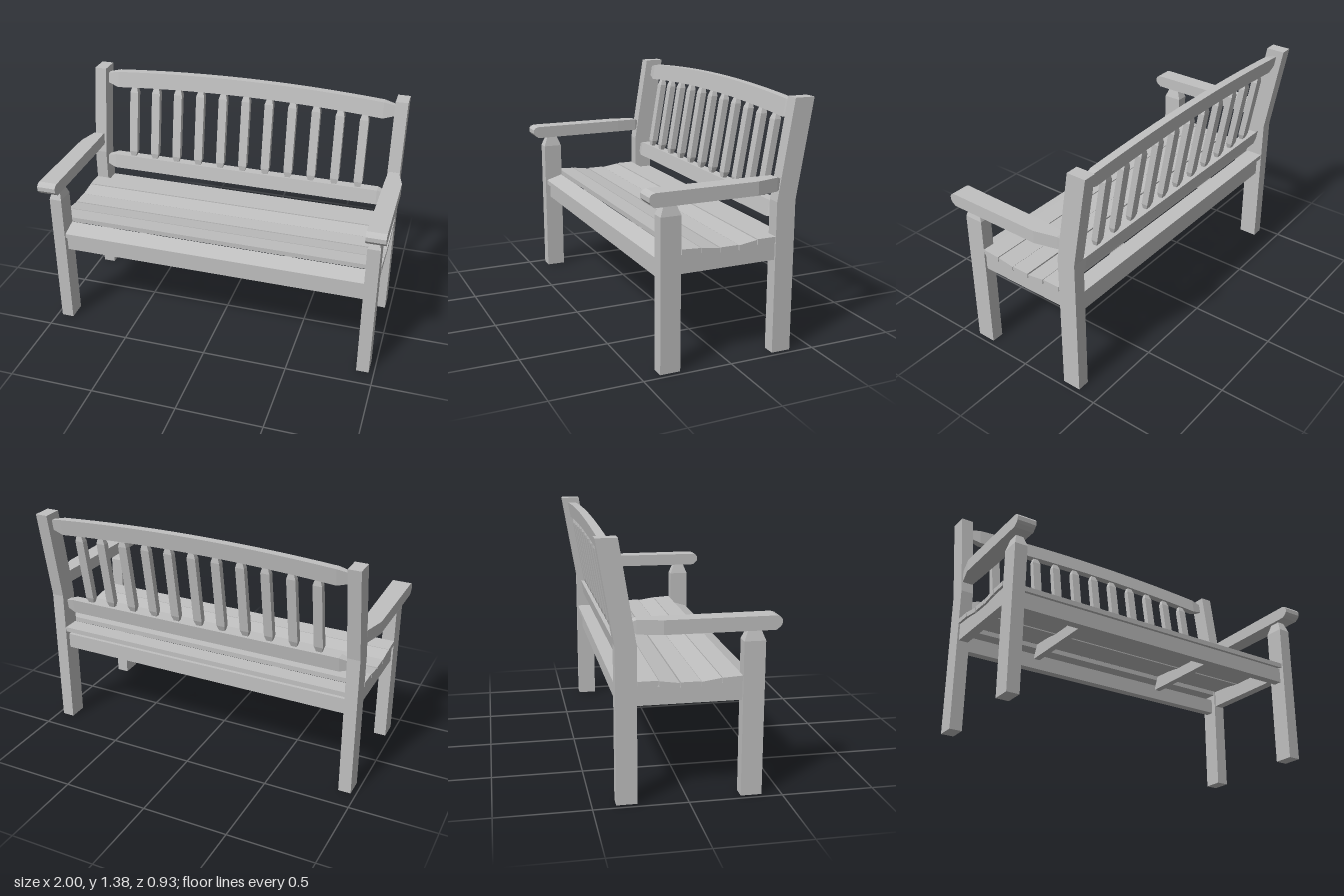
import * as THREE from 'three';

const LEAN = 0.168, BEND = 0.84;

// Solid skinned over matching rings of [x, y, z] points, with flat facets.
function loft(rings) {
  const p = [];
  const tri = (...c) => c.forEach(v => p.push(...v));
  const n = rings[0].length;
  for (let i = 0; i < rings.length - 1; i++) {
    for (let j = 0; j < n; j++) {
      const k = (j + 1) % n, a = rings[i], b = rings[i + 1];
      tri(a[j], a[k], b[k]);
      tri(a[j], b[k], b[j]);
    }
  }
  const first = rings[0], last = rings[rings.length - 1];
  for (let j = 1; j < n - 1; j++) {
    tri(first[0], first[j + 1], first[j]);
    tri(last[0], last[j], last[j + 1]);
  }
  // turn the faces outward if the rings run the other way
  let volume = 0;
  for (let i = 0; i < p.length; i += 9) {
    const [a, b, c] = [0, 3, 6].map(o => new THREE.Vector3(p[i + o], p[i + o + 1], p[i + o + 2]));
    volume += a.dot(b.cross(c));
  }
  if (volume < 0) {
    for (let i = 0; i < p.length; i += 9) {
      for (let o = 0; o < 3; o++) [p[i + 3 + o], p[i + 6 + o]] = [p[i + 6 + o], p[i + 3 + o]];
    }
  }
  const g = new THREE.BufferGeometry();
  g.setAttribute('position', new THREE.Float32BufferAttribute(p, 3));
  g.computeVertexNormals();
  return g;
}

// Rectangular ring across x, and rectangular ring across y
const ringX = (x, y0, y1, z0, z1) => [[x, y0, z0], [x, y1, z0], [x, y1, z1], [x, y0, z1]];
const ringY = (y, x0, x1, z0, z1) => [[x0, y, z0], [x1, y, z0], [x1, y, z1], [x0, y, z1]];

// Slab with a [z, y] side profile between two x positions
const slab = (x0, x1, profile) => loft([x0, x1].map(x => profile.map(([z, y]) => [x, y, z])));

// Tilt the back panel in line with the upper back legs
function lean(g) {
  const p = g.attributes.position;
  for (let i = 0; i < p.count; i++) p.setZ(i, p.getZ(i) - (p.getY(i) - BEND) * LEAN);
  g.computeVertexNormals();
  return g;
}

export function createModel() {
  const model = new THREE.Group();
  model.name = 'gardenBench';
  const wood = new THREE.MeshStandardMaterial({ color: 0xc0c0c0 });
  wood.name = 'pale grey wood';

  const add = (name, geometry) => {
    const mesh = new THREE.Mesh(geometry, wood);
    mesh.name = name;
    model.add(mesh);
  };

  for (const s of [1, -1]) {
    const side = s > 0 ? 'left' : 'right';

    // Front leg with a chamfered top
    add(side + 'FrontLeg', loft([
      ringY(0, s * 0.897, s * 0.97, 0.282, 0.395),
      ringY(0.835, s * 0.897, s * 0.97, 0.282, 0.395),
      ringY(0.897, s * 0.912, s * 0.955, 0.307, 0.37),
    ]));

    // Back leg, bent backward above the seat
    add(side + 'BackLeg', loft([
      ringY(0, s * 0.897, s * 0.97, -0.375, -0.265),
      ringY(BEND, s * 0.897, s * 0.97, -0.375, -0.265),
      ringY(1.375, s * 0.897, s * 0.97, -0.465, -0.353),
    ]));

    // Armrest: rounded nose, narrowing toward the back leg
    const armRing = (z, y0, y1, x0, x1) =>
      [[s * x0, y0, z], [s * x1, y0, z], [s * x1, y1, z], [s * x0, y1, z]];
    add(side + 'Armrest', loft([
      armRing(0.468, 0.925, 0.95, 0.89, 1),
      armRing(0.458, 0.912, 0.963, 0.89, 1),
      armRing(0.437, 0.896, 0.97, 0.89, 1),
      armRing(-0.135, 0.896, 0.97, 0.9, 1),
      armRing(-0.265, 0.896, 0.97, 0.905, 0.967),
      armRing(-0.285, 0.91, 0.96, 0.91, 0.96),
    ]));

    // Dished side rail and inner seat bearer
    const dish = [[0.28, 0.627], [0.17, 0.622], [0.06, 0.61], [-0.04, 0.61], [-0.15, 0.622], [-0.265, 0.627]];
    add(side + 'SideRail', slab(s * 0.905, s * 0.96, [[-0.265, 0.525], [0.28, 0.525], ...dish]));
    add(side + 'SeatBearer', slab(s * 0.425, s * 0.463, [[-0.3, 0.545], [0.33, 0.545], ...dish]));
  }

  // Long seat rails
  add('frontSeatRail', slab(-0.9, 0.9, [[0.315, 0.485], [0.365, 0.485], [0.365, 0.575], [0.315, 0.575]]));
  add('backSeatRail', slab(-0.9, 0.9, [[-0.345, 0.485], [-0.295, 0.485], [-0.295, 0.575], [-0.345, 0.575]]));

  // Seat slats: half length, front z, front top y, back z, back top y
  [
    [0.897, 0.385, 0.602, 0.285, 0.632],
    [0.972, 0.279, 0.658, 0.174, 0.652],
    [0.972, 0.169, 0.652, 0.066, 0.637],
    [0.972, 0.062, 0.64, -0.042, 0.64],
    [0.972, -0.048, 0.637, -0.151, 0.652],
    [0.972, -0.156, 0.655, -0.262, 0.655],
    [0.897, -0.272, 0.632, -0.372, 0.632],
  ].forEach(([hx, zf, yf, zb, yb], i) => {
    add('seatSlat' + (i + 1), slab(-hx, hx, [[zf, yf - 0.028], [zf, yf], [zb, yb], [zb, yb - 0.028]]));
  });

  // Lower back rail with tapered ends
  add('lowerBackRail', lean(loft([
    ringX(-0.9, 0.745, 0.8, -0.342, -0.312),
    ringX(-0.845, 0.73, 0.817, -0.357, -0.3),
    ringX(0.845, 0.73, 0.817, -0.357, -0.3),
    ringX(0.9, 0.745, 0.8, -0.342, -0.312),
  ])));

  // Arched top rail with tapered ends
  const arch = x => 1.255 + 0.032 * (1 - (x / 0.83) ** 2);
  const rings = [ringX(-0.9, 1.275, 1.335, -0.335, -0.308)];
  for (let i = 0; i <= 16; i++) {
    const x = -0.83 + (1.66 * i) / 16;
    rings.push(ringX(x, arch(x), arch(x) + 0.095, -0.346, -0.298));
  }
  rings.push(ringX(0.9, 1.275, 1.335, -0.335, -0.308));
  add('topBackRail', lean(loft(rings)));

  // Upright back slats with pointed ends
  for (let i = -5; i <= 5; i++) {
    const x = i * 0.145, top = arch(x) + 0.006;
    const ring = (y, w, t) => ringY(y, x - w, x + w, -0.324 - t, -0.324 + t);
    add('backSlat' + (i + 6), lean(loft([
      ring(0.81, 0.014, 0.01),
      ring(0.85, 0.026, 0.019),
      ring(top - 0.04, 0.026, 0.019),
      ring(top, 0.014, 0.01),
    ])));
  }

  return model;
}
